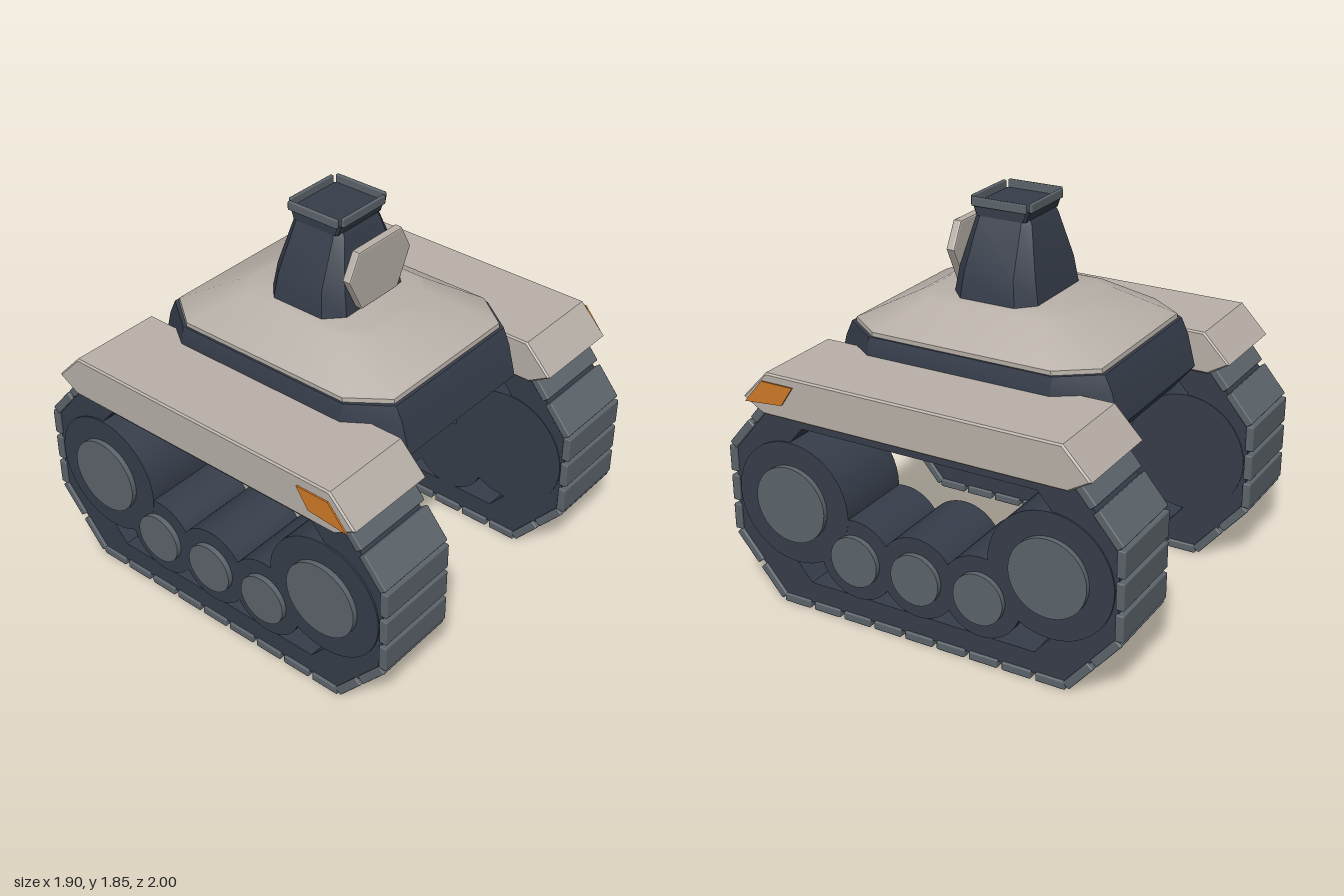
import * as THREE from 'three';
import { toCreasedNormals } from 'three/addons/utils/BufferGeometryUtils.js';
import { RoundedBoxGeometry } from 'three/addons/geometries/RoundedBoxGeometry.js';

const paint = (name, color) => {
  const m = new THREE.MeshStandardMaterial({ color });
  m.name = name;
  return m;
};

// Stack of chamfered rectangles; each level is [y, halfX, halfZ, chamferX, chamferZ]
function loft(levels, crease = 0.35) {
  const pos = [], idx = [];
  for (const [y, x, z, cx, cz] of levels) {
    const ring = [[x, z - cz], [x - cx, z], [cx - x, z], [-x, z - cz],
      [-x, cz - z], [cx - x, -z], [x - cx, -z], [x, cz - z]];
    ring.forEach(([px, pz]) => pos.push(px, y, pz));
  }
  const last = (levels.length - 1) * 8;
  for (let i = 0; i < 8; i++) {
    const j = (i + 1) % 8;
    for (let k = 0; k < last; k += 8) {
      idx.push(k + i, k + 8 + i, k + 8 + j, k + i, k + 8 + j, k + j);
    }
    if (i > 0 && i < 7) idx.push(0, i, j, last, last + j, last + i);
  }
  const g = new THREE.BufferGeometry();
  g.setAttribute('position', new THREE.Float32BufferAttribute(pos, 3));
  g.setIndex(idx);
  return toCreasedNormals(g, crease);
}

// Side profile of [z, y] points extruded across x from x0 to x1
function sideExtrude(points, x0, x1, bevel = 0, hole = null) {
  const toVec = ([z, y]) => new THREE.Vector2(z, y);
  const shape = new THREE.Shape(points.map(toVec));
  if (hole) shape.holes.push(new THREE.Path(hole.map(toVec)));
  const g = new THREE.ExtrudeGeometry(shape, {
    depth: x1 - x0 - 2 * bevel, bevelEnabled: bevel > 0, bevelSize: bevel,
    bevelThickness: bevel, bevelOffset: -bevel, bevelSegments: 1,
  });
  g.rotateY(-Math.PI / 2);
  g.translate(x1 - bevel, 0, 0);
  return g;
}

// Mirrors a list of [z, y] points front to back to close a loop
const mirrored = (pts) => [...pts, ...pts.slice().reverse().map(([z, y]) => [-z, y])];

export function createModel() {
  const model = new THREE.Group();
  model.name = 'trackedRobot';
  const shell = paint('warm grey shell', 0xb8b0a8);
  const dark = paint('dark slate', 0x363d4a);
  const steel = paint('steel grey', 0x5c646b);
  const amber = paint('amber', 0xd07a28);

  const add = (parent, name, geometry, material) => {
    const mesh = new THREE.Mesh(geometry, material);
    mesh.name = name;
    parent.add(mesh);
    return mesh;
  };

  // Hull and sloped deck
  add(model, 'hull', loft([
    [0.905, 0.47, 0.63, 0.12, 0.18],
    [1.02, 0.54, 0.72, 0.15, 0.24],
    [1.17, 0.54, 0.68, 0.15, 0.22],
    [1.245, 0.52, 0.645, 0.13, 0.18],
  ]), dark);
  add(model, 'deck', loft([
    [1.24, 0.51, 0.63, 0.13, 0.175],
    [1.265, 0.51, 0.625, 0.13, 0.175],
    [1.395, 0.305, 0.37, 0.08, 0.1],
    [1.408, 0.27, 0.335, 0.07, 0.09],
  ], 0.55), shell);

  // Turret, neck and top frame
  add(model, 'turret', loft([
    [1.4, 0.272, 0.214, 0.08, 0.075],
    [1.53, 0.255, 0.192, 0.075, 0.068],
    [1.745, 0.157, 0.142, 0.035, 0.035],
    [1.765, 0.148, 0.132, 0.03, 0.03],
  ]), dark);
  add(model, 'neck', loft([
    [1.76, 0.155, 0.125, 0.01, 0.01],
    [1.81, 0.155, 0.142, 0.01, 0.01],
  ]), dark);
  for (const s of [1, -1]) {
    add(model, 'frameEndBar', new RoundedBoxGeometry(0.285, 0.042, 0.018, 1, 0.005), steel)
      .position.set(0, 1.826, s * 0.146);
    add(model, 'frameSideBar', new RoundedBoxGeometry(0.018, 0.042, 0.275, 1, 0.005), steel)
      .position.set(s * 0.162, 1.826, 0);
  }

  // Six-sided face plate
  const plate = new THREE.Shape([[-0.125, 1.43], [0.125, 1.43], [0.212, 1.6],
    [0.147, 1.72], [-0.147, 1.72], [-0.212, 1.6]].map(([x, y]) => new THREE.Vector2(x, y)));
  const plateGeo = new THREE.ExtrudeGeometry(plate, {
    depth: 0.026, bevelSize: 0.008, bevelThickness: 0.008, bevelOffset: -0.008, bevelSegments: 2,
  });
  add(model, 'facePlate', plateGeo.translate(0, 0, 0.211), shell);

  // Track outlines, as [z, y]
  const bandOuter = mirrored([[0.73, 0.03], [0.97, 0.31], [0.97, 0.74], [0.73, 1.02]]);
  const bandInner = mirrored([[0.58, 0.135], [0.87, 0.474], [0.87, 0.58], [0.59, 0.905]]);
  const padPath = mirrored([[0.745, 0], [1, 0.302], [1, 0.748], [0.745, 1.05]]);
  const padCounts = [2, 3, 2, 9, 2, 3, 2, 9];
  const fender = mirrored([[0.757, 0.962], [0.862, 1.025], [0.73, 1.163]]);
  const lamp = [[0.834, 1.017], [0.738, 1.13], [0.572, 1.13], [0.636, 1.035]];

  for (const s of [1, -1]) {
    const side = new THREE.Group();
    side.name = s > 0 ? 'leftTrack' : 'rightTrack';
    model.add(side);
    const across = (pts, a, b, bevel, hole) =>
      sideExtrude(pts, s > 0 ? a : -b, s > 0 ? b : -a, bevel, hole);
    const disc = (name, r, a, b, z, y, mat) => {
      const g = new THREE.CylinderGeometry(r, r, b - a, 48).rotateZ(Math.PI / 2);
      add(side, name, g, mat).position.set(s * (a + b) / 2, y, z);
    };

    add(side, 'trackBand', across(bandOuter, 0.48, 0.872, 0, bandInner), dark);
    add(side, 'fender', across(fender, 0.457, 0.927, 0.008), shell);
    add(side, 'sideLamp', across(lamp, 0.94, 0.948), amber);

    // Tread pads spaced along each straight run
    padPath.forEach(([z0, y0], i) => {
      const [z1, y1] = padPath[(i + 1) % padPath.length];
      const dz = z1 - z0, dy = y1 - y0, len = Math.hypot(dz, dy), n = padCounts[i];
      const geo = new RoundedBoxGeometry(0.42, 0.04, len / n - 0.022, 1, 0.006);
      for (let k = 0; k < n; k++) {
        const t = (k + 0.5) / n;
        const pad = add(side, 'treadPad', geo, steel);
        pad.position.set(s * 0.675, y0 + dy * t + 0.02 * dz / len * -Math.sign(1) * -1,
          z0 + dz * t - 0.02 * dy / len);
        // Pads sit just inside the path
        pad.position.y = y0 + dy * t + 0.02 * dz / len;
        pad.rotation.x = -Math.atan2(dy, dz);
      }
    });

    // Drive wheels and road wheels with raised hubs on the outside
    for (const z of [-0.655, 0.655]) {
      disc('driveWheel', 0.298, 0.476, 0.88, z, 0.527, dark);
      disc('driveHub', 0.185, 0.87, 0.905, z, 0.527, steel);
    }
    for (const z of [-0.32, 0, 0.32]) {
      disc('roadWheel', 0.195, 0.477, 0.879, z, 0.328, dark);
      disc('roadHub', 0.122, 0.87, 0.905, z, 0.328, steel);
    }
  }
  return model;
}
